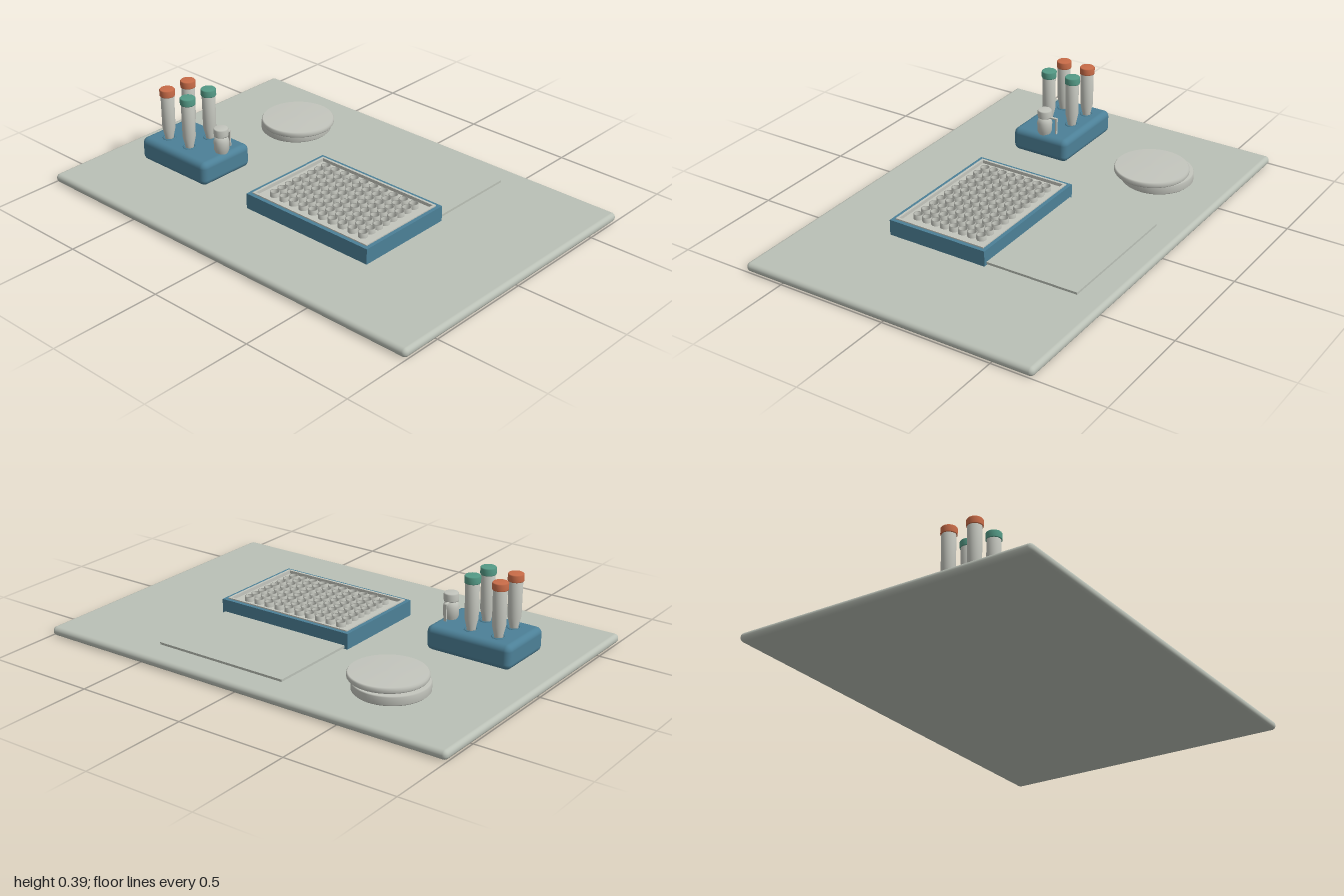
import * as THREE from 'three';
import { RoundedBoxGeometry } from 'three/addons/geometries/RoundedBoxGeometry.js';

const material = (name, color, side = THREE.FrontSide) => {
  const m = new THREE.MeshStandardMaterial({ color, side });
  m.name = name;
  return m;
};

export function createModel() {
  const model = new THREE.Group();
  model.name = 'labBench';
  const mats = {
    mat: material('matGrey', 0xbac0b6),
    clear: material('paleClear', 0xc3c5bd, THREE.DoubleSide),
    blue: material('rackBlue', 0x4c8097),
    orange: material('capOrange', 0xc96c48),
    green: material('capGreen', 0x549a86),
  };

  const add = (parent, name, geometry, mat, x = 0, y = 0, z = 0) => {
    const mesh = new THREE.Mesh(geometry, mat);
    mesh.name = name;
    mesh.position.set(x, y, z);
    parent.add(mesh);
    return mesh;
  };
  const group = (name, x = 0, y = 0, z = 0) => {
    const g = new THREE.Group();
    g.name = name;
    g.position.set(x, y, z);
    model.add(g);
    return g;
  };
  const lathe = (points, segments = 32) =>
    new THREE.LatheGeometry(points.map(([r, y]) => new THREE.Vector2(r, y)), segments);
  // rectangular frame lying flat, its underside at y = 0
  const frame = (w, d, border, h) => {
    const rect = (Type, a, b) => new Type([[-a, -b], [a, -b], [a, b], [-a, b]]
      .map(([x, y]) => new THREE.Vector2(x, y)));
    const shape = rect(THREE.Shape, w / 2, d / 2);
    shape.holes.push(rect(THREE.Path, w / 2 - border, d / 2 - border));
    return new THREE.ExtrudeGeometry(shape, { depth: h, bevelEnabled: false }).rotateX(-Math.PI / 2);
  };

  // bench mat with rounded edges
  add(model, 'benchMat', new RoundedBoxGeometry(2, 0.04, 1.37, 4, 0.019), mats.mat, 0, 0.02, 0);

  // tube rack
  const rack = group('tubeRack');
  add(rack, 'rackBlock', new RoundedBoxGeometry(0.4, 0.108, 0.28, 4, 0.027), mats.blue, -0.625, 0.094, 0.193);

  // capped tubes standing in the rack
  const tubeBody = lathe([[0, 0.13], [0.019, 0.13], [0.019, 0.155], [0.029, 0.2], [0.03, 0.355], [0, 0.355]]);
  const tubeCap = lathe([[0, 0.354], [0.033, 0.354], [0.034, 0.357], [0.034, 0.382], [0.031, 0.386], [0, 0.386]]);
  const collar = new THREE.TorusGeometry(0.026, 0.005, 6, 24).rotateX(Math.PI / 2);
  for (const [x, colour] of [[-0.73, 'orange'], [-0.6, 'green']]) {
    for (const z of [0.127, 0.25]) {
      const tube = group('sampleTube', x, 0, z);
      add(tube, 'tubeBody', tubeBody, mats.clear);
      add(tube, 'tubeCap', tubeCap, mats[colour]);
      add(tube, 'tubeSocket', collar, mats.blue, 0, 0.147, 0);
    }
  }

  // small vial at the rack edge with its hinge strap
  const vial = group('smallVial', -0.464, 0, 0.187);
  add(vial, 'vialBody', lathe([[0, 0.1], [0.008, 0.105], [0.033, 0.16], [0.034, 0.2], [0.026, 0.228], [0, 0.228]]), mats.clear);
  add(vial, 'vialCap', lathe([[0, 0.226], [0.031, 0.226], [0.032, 0.23], [0.032, 0.257], [0.029, 0.262], [0, 0.262]]), mats.clear);
  add(vial, 'hingeTop', new THREE.BoxGeometry(0.012, 0.006, 0.06), mats.clear, -0.008, 0.225, -0.03);
  add(vial, 'hingeDrop', new THREE.BoxGeometry(0.012, 0.075, 0.006), mats.clear, -0.008, 0.19, -0.057);

  // shallow round dish with its lid set slightly askew
  const dish = group('roundDish');
  add(dish, 'dishBase', lathe([[0, 0.04], [0.153, 0.04], [0.16, 0.047], [0.16, 0.078], [0.157, 0.083], [0, 0.083]], 64), mats.clear, -0.535, 0, -0.355);
  add(dish, 'dishLid', lathe([[0, 0.083], [0.161, 0.083], [0.165, 0.088], [0.165, 0.102], [0.16, 0.108], [0, 0.109]], 64), mats.clear, -0.51, 0, -0.34);

  // well plate: blue skirt, pale deck and raised lip
  const plate = group('wellPlate', 0.167, 0, 0.097);
  add(plate, 'plateSkirt', frame(0.67, 0.47, 0.024, 0.07), mats.blue, 0, 0.04, 0);
  add(plate, 'plateDeck', new THREE.BoxGeometry(0.63, 0.06, 0.43), mats.clear, 0, 0.07, 0);
  add(plate, 'plateLip', frame(0.635, 0.435, 0.011, 0.015), mats.clear, 0, 0.1, 0);

  // open cups of the well grid
  const well = lathe([[0.021, 0.098], [0.021, 0.121], [0.0165, 0.121], [0.0165, 0.098]], 20);
  const columns = 10, rows = 8;
  for (let i = 0; i < columns; i++) {
    for (let j = 0; j < rows; j++) {
      add(plate, 'well', well, mats.clear, -0.247 + i * 0.0546, 0, -0.16 + j * 0.045);
    }
  }

  // thin plate cover lying behind the plate
  add(model, 'plateCover', new THREE.BoxGeometry(0.64, 0.01, 0.44), mats.mat, 0.167, 0.05, -0.342);

  return model;
}
